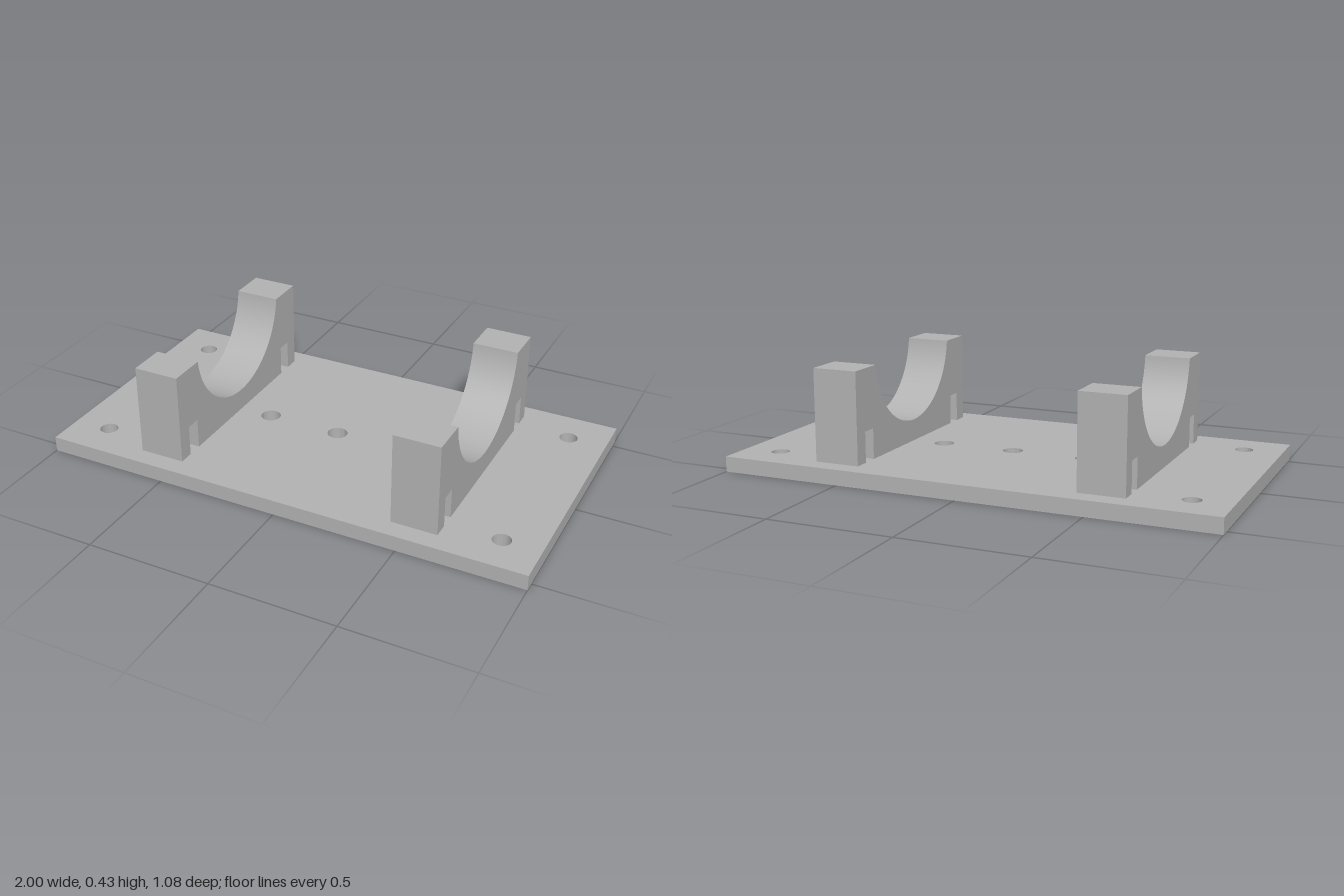
import * as THREE from 'three';
import { toCreasedNormals } from 'three/addons/utils/BufferGeometryUtils.js';

const U = 1 / 65; // design unit: plate is 130 long

function extrude(shape, depth) {
  const geometry = new THREE.ExtrudeGeometry(shape, { depth: depth * U, bevelEnabled: false, curveSegments: 48 });
  return toCreasedNormals(geometry, 0.4);
}

// Flat plate with four corner holes and a row of three along the middle
function plateGeometry() {
  const x = 65 * U, z = 35 * U;
  const shape = new THREE.Shape([[-x, -z], [x, -z], [x, z], [-x, z]].map(p => new THREE.Vector2(...p)));
  const drill = (hx, hz, r) => {
    const hole = new THREE.Path();
    hole.absarc(hx * U, hz * U, r * U, 0, Math.PI * 2, true);
    shape.holes.push(hole);
  };
  for (const sx of [-1, 1]) for (const sz of [-1, 1]) drill(sx * 55, sz * 25, 2.35);
  for (const hx of [-20, 0, 20]) drill(hx, 0, 2.6);
  return extrude(shape, 4).rotateX(Math.PI / 2).translate(0, 4 * U, 0);
}

// Block with a round cradle on top and a strap slot at each foot
function saddleGeometry() {
  const shape = new THREE.Shape();
  const line = (...points) => points.forEach(([a, b]) => shape.lineTo(a * U, b * U));
  const radius = 20.25, centre = 30, top = 28;
  const start = Math.asin((top - centre) / radius);
  shape.moveTo(-30 * U, 4 * U);
  line([-26, 4], [-26, 12], [-22, 12], [-22, 4]);
  line([22, 4], [22, 12], [26, 12], [26, 4], [30, 4], [30, top]);
  shape.absarc(0, centre * U, radius * U, start, -Math.PI - start, true);
  line([-30, top]);
  return extrude(shape, 12).translate(0, 0, -6 * U).rotateY(Math.PI / 2);
}

export function createModel() {
  const group = new THREE.Group();
  group.name = 'pipeCradle';
  const grey = new THREE.MeshStandardMaterial({ color: 0xb2b2b2 });
  grey.name = 'grey';

  const plate = new THREE.Mesh(plateGeometry(), grey);
  plate.name = 'basePlate';
  group.add(plate);

  // Pair of saddles
  const saddle = saddleGeometry();
  for (const [name, side] of [['rightSaddle', -1], ['leftSaddle', 1]]) {
    const mesh = new THREE.Mesh(saddle, grey);
    mesh.name = name;
    mesh.position.x = side * 35 * U;
    group.add(mesh);
  }
  return group;
}
